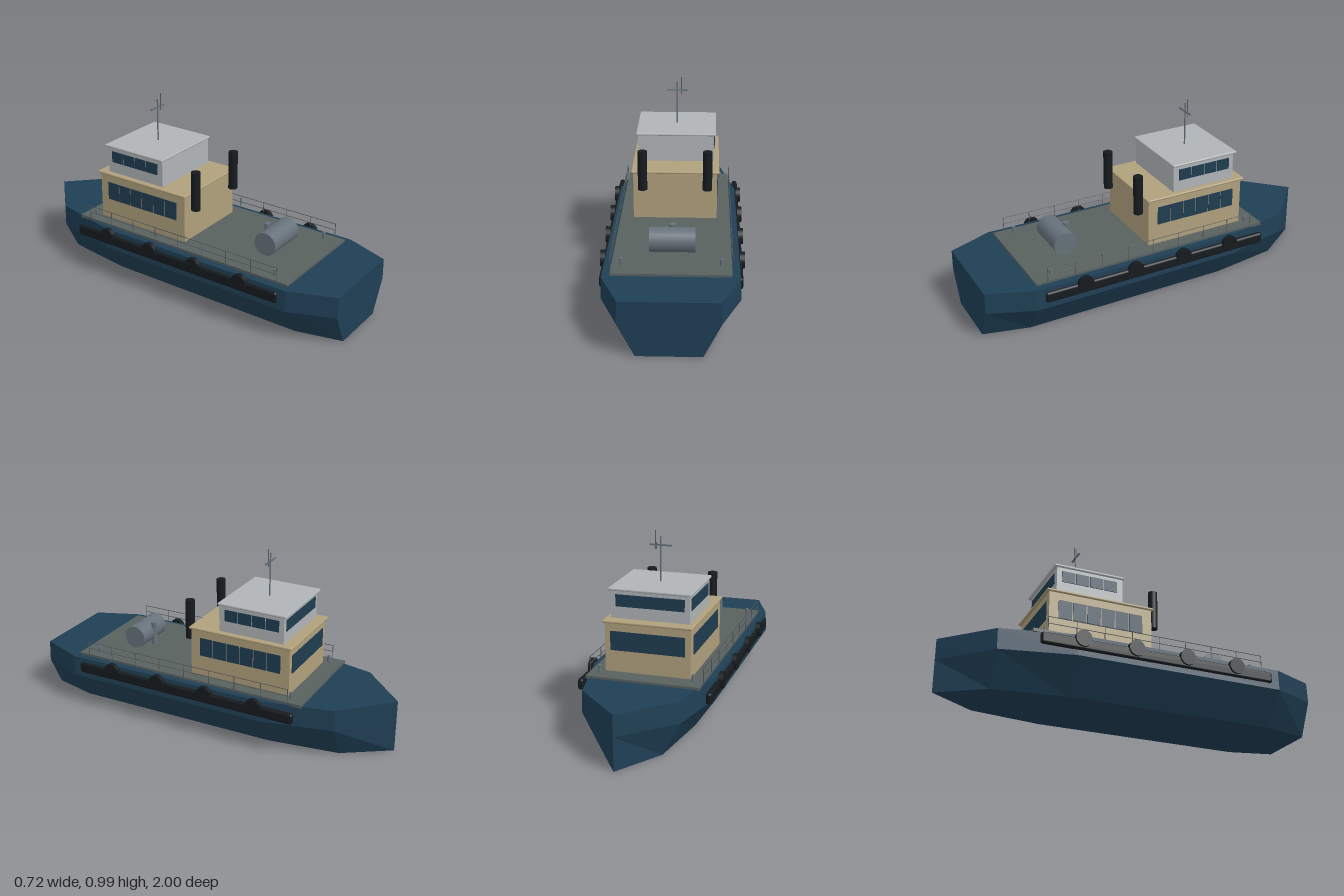
import * as THREE from 'three';
import { RoundedBoxGeometry } from 'three/addons/geometries/RoundedBoxGeometry.js';

const mat = (color, extra = {}) => new THREE.MeshStandardMaterial({ color, ...extra });

export function createModel() {
  const boat = new THREE.Group();
  const navy = mat(0x1f3f54, { flatShading: true });
  const deckGrey = mat(0x59615f), tan = mat(0xb0a07c), pale = mat(0xb0b4b6);
  const black = mat(0x161b1e), glass = mat(0x1f3d50), steel = mat(0x66717a), rail = mat(0x50565a);

  const add = (name, geo, material, x, y, z, parent = boat) => {
    const mesh = new THREE.Mesh(geo, material);
    mesh.name = name;
    mesh.position.set(x, y, z);
    parent.add(mesh);
    return mesh;
  };
  // Box given by its ranges on each axis
  const box = (name, material, [x0, x1], [y0, y1], [z0, z1], radius = 0) => {
    const size = [x1 - x0, y1 - y0, z1 - z0];
    const geo = radius ? new RoundedBoxGeometry(...size, 2, radius) : new THREE.BoxGeometry(...size);
    return add(name, geo, material, (x0 + x1) / 2, (y0 + y1) / 2, (z0 + z1) / 2);
  };
  const post = (name, material, r, y0, y1, x, z, sides = 16) =>
    add(name, new THREE.CylinderGeometry(r, r, y1 - y0, sides), material, x, (y0 + y1) / 2, z);

  add('hull', hullGeometry(), navy, 0, 0, 0);
  box('deck', deckGrey, [-0.295, 0.295], [0.28, 0.297], [-0.595, 0.745]);

  // Deckhouse and wheelhouse with overhanging roofs
  box('deckhouse', tan, [-0.224, 0.224], [0.297, 0.553], [-0.495, 0.072]);
  box('deckhouseRoof', tan, [-0.235, 0.235], [0.552, 0.566], [-0.51, 0.082], 0.006);
  box('wheelhouse', pale, [-0.206, 0.206], [0.566, 0.711], [-0.452, -0.085]);
  box('wheelhouseRoof', pale, [-0.217, 0.217], [0.71, 0.724], [-0.468, -0.078], 0.006);

  // Windows: one wide pane towards the bow, a row down each side
  box('deckhouseBowWindow', glass, [-0.195, 0.195], [0.41, 0.51], [-0.499, -0.485]);
  box('wheelhouseBowWindow', glass, [-0.18, 0.18], [0.628, 0.69], [-0.456, -0.44]);
  for (const s of [-1, 1]) {
    const row = (name, count, zStart, x, ys) => {
      for (let i = 0; i < count; i++) {
        const z = zStart - i * 0.078;
        const pane = box(name, glass, [x - 0.008, x], ys, [z - 0.073, z]);
        pane.position.x *= s;
      }
    };
    row('deckhouseSideWindow', 6, 0.018, 0.228, [0.41, 0.51]);
    row('wheelhouseSideWindow', 4, -0.118, 0.21, [0.628, 0.69]);
  }

  // Mast with crossbar and aerial
  post('mast', steel, 0.004, 0.724, 0.96, 0, -0.272, 8);
  box('mastCrossbar', steel, [-0.057, 0.057], [0.909, 0.917], [-0.276, -0.268]);
  post('aerial', black, 0.0014, 0.89, 0.987, 0.025, -0.272, 6);

  // Towing winch and its post
  add('winchDrum', new THREE.CylinderGeometry(0.063, 0.063, 0.23, 24), steel, 0, 0.367, 0.5).rotation.z = Math.PI / 2;
  post('towingPost', steel, 0.017, 0.297, 0.427, 0, 0.443);

  for (const s of [-1, 1]) {
    post('exhaustStack', black, 0.025, 0.475, 0.69, s * 0.172, 0.107, 20);
    for (const z of [-0.52, 0.645]) post('bollard', steel, 0.009, 0.297, 0.333, s * 0.245, z, 12);

    // Rubbing strake and tyre fenders
    const strake = box('rubbingStrake', black, [0.32, 0.35], [0.203, 0.262], [-0.57, 0.715], 0.012);
    strake.position.x *= s;
    for (let i = 0; i < 4; i++) {
      add('tyreFender', new THREE.CylinderGeometry(0.043, 0.043, 0.026, 20), black,
        s * 0.349, 0.258, 0.5 - i * 0.285).rotation.z = Math.PI / 2;
    }

    // Guard rails
    for (let i = 0; i < 9; i++) post('railPost', rail, 0.002, 0.297, 0.372, s * 0.297, 0.683 - i * 0.1505, 6);
    for (const y of [0.335, 0.371]) {
      add('guardRail', new THREE.CylinderGeometry(0.002, 0.002, 1.204, 6), rail, s * 0.297, y, 0.081).rotation.x = Math.PI / 2;
    }
  }
  return boat;
}

// Hull lofted from stations: z and half widths at bottom, chine and deck edge
function hullGeometry() {
  const stations = [
    [-1, 0, 0, 0],
    [-0.76, 0.16, 0.25, 0.245],
    [-0.38, 0.215, 0.335, 0.33],
    [0.76, 0.22, 0.34, 0.335],
    [1, 0.16, 0.245, 0.24],
  ];
  const rings = stations.map(([z, b, c, t]) => [
    [-t, 0.285, z], [-c, 0.173, z], [-b, 0, z], [b, 0, z], [c, 0.173, z], [t, 0.285, z],
  ]);
  const pos = [];
  const tri = (a, b, c) => pos.push(...a, ...b, ...c);
  for (let k = 0; k < rings.length - 1; k++) {
    const a = rings[k], b = rings[k + 1];
    for (let i = 0; i < 6; i++) {
      const j = (i + 1) % 6;
      tri(a[i], a[j], b[j]);
      tri(a[i], b[j], b[i]);
    }
  }
  // Transom
  const end = rings[rings.length - 1];
  for (let i = 1; i < 5; i++) tri(end[0], end[i], end[i + 1]);
  const geo = new THREE.BufferGeometry();
  geo.setAttribute('position', new THREE.Float32BufferAttribute(pos, 3));
  geo.computeVertexNormals();
  return geo;
}
